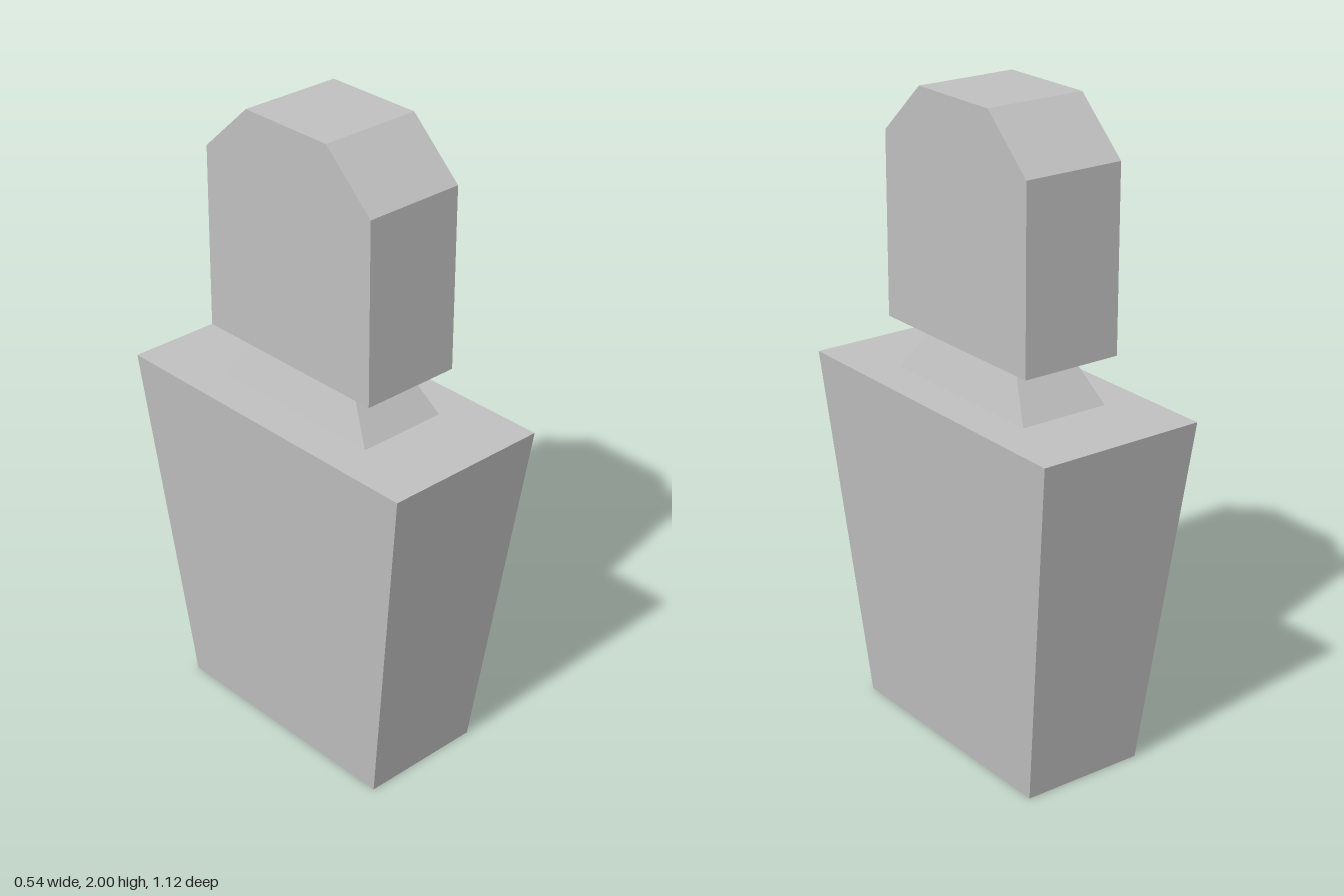
import * as THREE from 'three';

// Loft through rectangular sections [y, halfX, halfZ], listed bottom to top
function loft(sections, capBottom, capTop) {
  const rings = sections.map(([y, x, z]) => [[x, y, z], [x, y, -z], [-x, y, -z], [-x, y, z]]);
  const pos = [];
  const quad = (a, b, c, d) => pos.push(...a, ...b, ...c, ...a, ...c, ...d);
  for (let i = 0; i < rings.length - 1; i++) {
    const lo = rings[i], hi = rings[i + 1];
    for (let k = 0; k < 4; k++) {
      const n = (k + 1) % 4;
      quad(lo[k], lo[n], hi[n], hi[k]);
    }
  }
  if (capTop) quad(...rings[rings.length - 1]);
  if (capBottom) quad(...[...rings[0]].reverse());
  const geo = new THREE.BufferGeometry();
  geo.setAttribute('position', new THREE.Float32BufferAttribute(pos, 3));
  geo.computeVertexNormals(); // unshared vertices give flat facets
  return geo;
}

export function createModel() {
  const group = new THREE.Group();
  const grey = new THREE.MeshStandardMaterial({ color: 0xc0c0c0 });
  grey.name = 'light grey';

  const add = (name, geo) => {
    const mesh = new THREE.Mesh(geo, grey);
    mesh.name = name;
    group.add(mesh);
  };

  // Tapered block, wider at the top
  add('body', loft([[0, 0.2, 0.41], [1.12, 0.27, 0.558]], true, true));

  // Short neck narrowing upwards
  add('neck', loft([[1.12, 0.146, 0.302], [1.25, 0.1, 0.207]], false, false));

  // Head with a bevelled underside and chamfered front and back top edges
  add('head', loft([
    [1.25, 0.1, 0.207],
    [1.275, 0.162, 0.332],
    [1.84, 0.162, 0.332],
    [2, 0.162, 0.16],
  ], false, true));

  return group;
}
